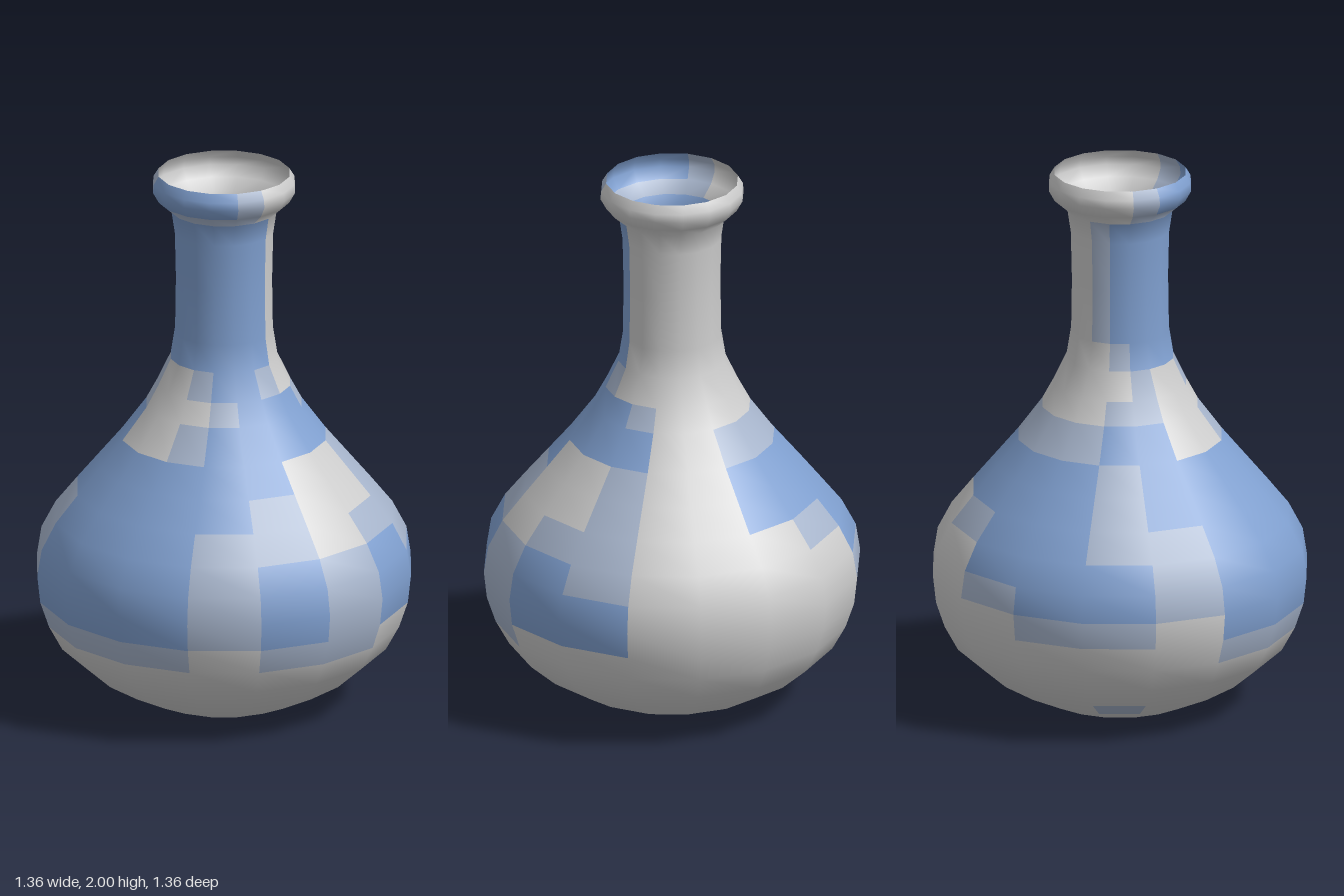
import * as THREE from 'three';

const SIDES = 16;
const START = THREE.MathUtils.degToRad(10);

// Outer profile, centre of the foot to the lip: [radius, height]
const PROFILE = [
  [0, 0], [0.25, 0], [0.376, 0.055], [0.494, 0.125], [0.596, 0.215], [0.645, 0.305],
  [0.677, 0.4], [0.688, 0.5], [0.672, 0.6], [0.62, 0.7], [0.54, 0.8], [0.457, 0.9],
  [0.374, 1.0], [0.286, 1.12], [0.243, 1.2], [0.196, 1.3], [0.18, 1.4], [0.177, 1.6],
  [0.181, 1.78], [0.193, 1.86], [0.24, 1.9], [0.262, 1.94], [0.259, 1.97], [0.241, 2.0],
];

// Finish of each facet, one string per band from foot to lip, once around
// the bottle from the back: . bare, b worn glaze, B full glaze
const GLAZE = [
  '................', '................', '....b...........', '................',
  '................', '......bbb.bb....', '...bb.BBBbBbBB..', '..bBBbBBBbBbBB..',
  '..BBBbBBBbBbBb..', '.bBBbbBBBbb.bb..', 'BBBBbBBBBBb..b..', 'BBBBbBBBBBB..b..',
  'bbbbBB..bBBBBB..', '....bb...bBBBb..', '.....b..bBBb....', '....bBBBBBBB....',
  '...bBBBBBBBB....', '...bBBBBBBBB....', '...bBBBBBBBB....', '.....bbbbbb.....',
  '.....bBBBBb.....', '.....bBBBBb.....', '.....bBBBBb.....',
];

const FINISHES = [
  { key: '.', name: 'bareWall', color: 0xcccccc },
  { key: 'b', name: 'wornGlaze', color: 0xa6b4cb },
  { key: 'B', name: 'blueGlaze', color: 0x7f9fcf },
];

export function createModel() {
  const group = new THREE.Group();
  group.name = 'bottle';

  // Thin turned wall with closed foot, open at the lip
  const wall = new THREE.LatheGeometry(
    PROFILE.map(([r, y]) => new THREE.Vector2(r, y)), SIDES, START);
  const bands = PROFILE.length - 1;

  // One mesh per finish, sharing the wall's smooth normals
  for (const { key, name, color } of FINISHES) {
    const indices = [];
    for (let side = 0; side < SIDES; side++) {
      for (let band = 0; band < bands; band++) {
        if (GLAZE[band][(side + SIDES / 2) % SIDES] !== key) continue;
        const first = (side * bands + band) * 6;
        for (let k = 0; k < 6; k++) indices.push(wall.index.getX(first + k));
      }
    }
    const geometry = wall.clone();
    geometry.setIndex(indices);
    const mesh = new THREE.Mesh(
      geometry, new THREE.MeshStandardMaterial({ color, side: THREE.DoubleSide }));
    mesh.name = name;
    group.add(mesh);
  }

  return group;
}
